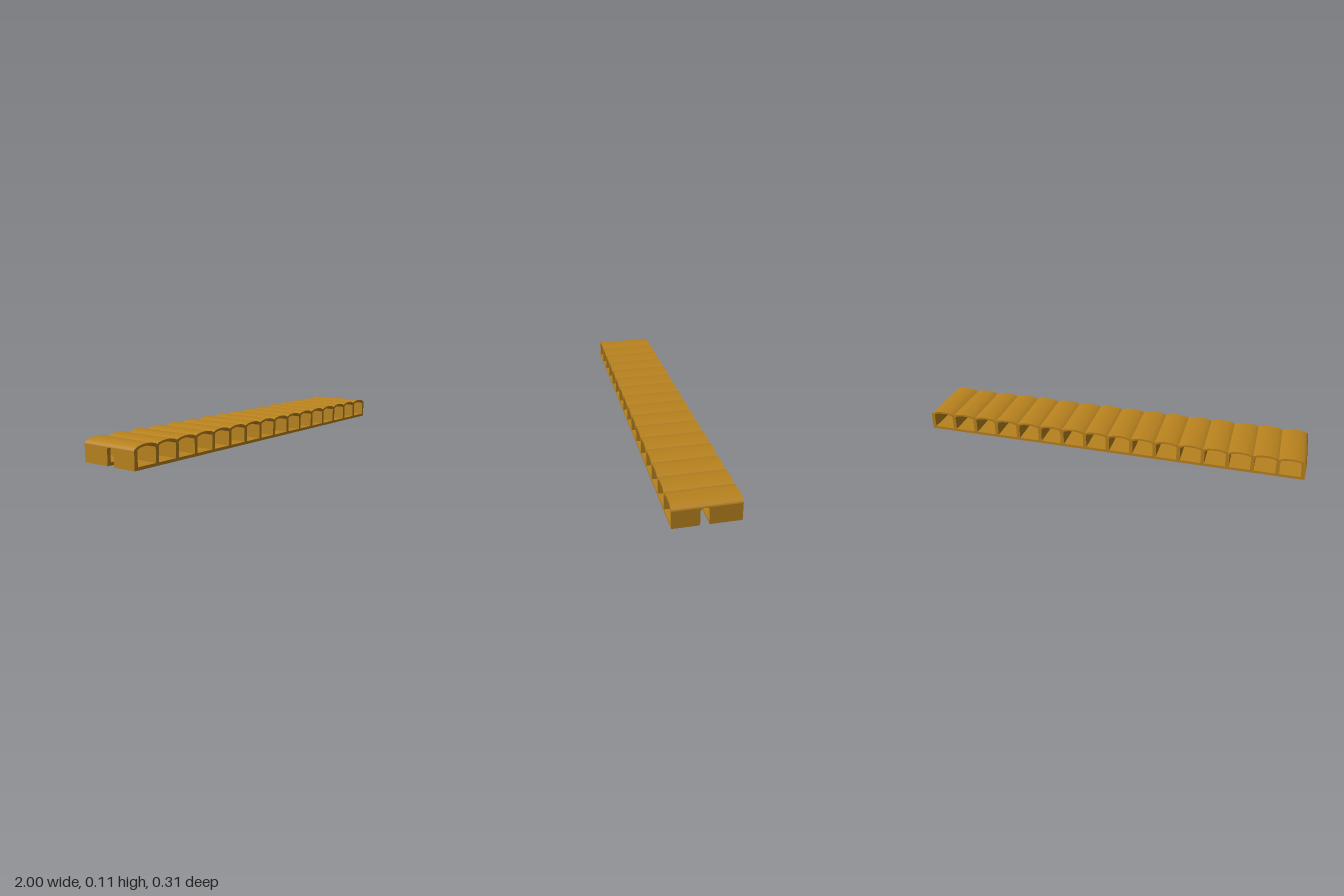
import * as THREE from 'three';
import { toCreasedNormals } from 'three/addons/utils/BufferGeometryUtils.js';

const CELLS = 16;
const WALL = 0.0185;                  // divider thickness
const PITCH = (2 - WALL) / CELLS;     // cell spacing
const DEPTH = 0.306;
const FLOOR = 0.014;                  // floor thickness
const SPRING = 0.083;                 // height where the vaults start
const SLOT_BACK = -0.01, SLOT_FRONT = 0.03;

const material = new THREE.MeshStandardMaterial({ color: 0xb8821e });

function addMesh(group, name, geometry) {
  const mesh = new THREE.Mesh(geometry, material);
  mesh.name = name;
  group.add(mesh);
  return mesh;
}

function extrude(shape, depth) {
  const geometry = new THREE.ExtrudeGeometry(shape, { depth, bevelEnabled: false, curveSegments: 20 });
  return toCreasedNormals(geometry, 0.5);
}

const cellX = (i) => (i - (CELLS - 1) / 2) * PITCH;

// Scalloped roof: outer domes meet in valleys, inner vaults span between walls
function roofGeometry() {
  const outer = (PITCH + WALL) / 2, inner = (PITCH - WALL) / 2;
  const valley = Math.acos(PITCH / 2 / outer);
  const shape = new THREE.Shape();
  shape.moveTo(-1, SPRING);
  for (let i = 0; i < CELLS; i++) {
    const start = i === 0 ? Math.PI : Math.PI - valley;
    const end = i === CELLS - 1 ? 0 : valley;
    shape.absellipse(cellX(i), SPRING, outer, 0.024, start, end, true);
  }
  for (let i = CELLS - 1; i >= 0; i--) {
    shape.lineTo(cellX(i) + inner, SPRING);
    shape.absellipse(cellX(i), SPRING, inner, 0.014, 0, Math.PI, false);
  }
  shape.lineTo(-1, SPRING);
  return extrude(shape, DEPTH).translate(0, 0, -DEPTH / 2);
}

// Upright wall with a round-headed slot open at the bottom (profile x is -z)
function wallGeometry() {
  const half = DEPTH / 2, a = -SLOT_FRONT, b = -SLOT_BACK;
  const shoulder = 0.066, top = SPRING - 0.001, mid = (a + b) / 2;
  const shape = new THREE.Shape();
  shape.moveTo(-half, FLOOR);
  shape.lineTo(a, FLOOR);
  shape.lineTo(a, shoulder);
  shape.bezierCurveTo(a, top - 0.004, a + 0.006, top, mid, top);
  shape.bezierCurveTo(b - 0.006, top, b, top - 0.004, b, shoulder);
  shape.lineTo(b, FLOOR);
  shape.lineTo(half, FLOOR);
  shape.lineTo(half, SPRING);
  shape.lineTo(-half, SPRING);
  shape.closePath();
  return extrude(shape, WALL).translate(0, 0, -WALL / 2).rotateY(Math.PI / 2);
}

export function createModel() {
  const model = new THREE.Group();
  model.name = 'cellStrip';

  addMesh(model, 'scallopedRoof', roofGeometry());

  // Dividers and end walls
  const walls = new THREE.Group();
  walls.name = 'walls';
  const wall = wallGeometry();
  for (let i = 0; i <= CELLS; i++) {
    addMesh(walls, i % CELLS ? 'divider' : 'endWall', wall).position.x = cellX(i) - PITCH / 2;
  }
  model.add(walls);

  // Two floor strips either side of the slot
  const strips = [['backFloor', -DEPTH / 2, SLOT_BACK], ['frontFloor', SLOT_FRONT, DEPTH / 2]];
  for (const [name, z0, z1] of strips) {
    addMesh(model, name, new THREE.BoxGeometry(2, FLOOR, z1 - z0)).position.set(0, FLOOR / 2, (z0 + z1) / 2);
  }
  return model;
}
